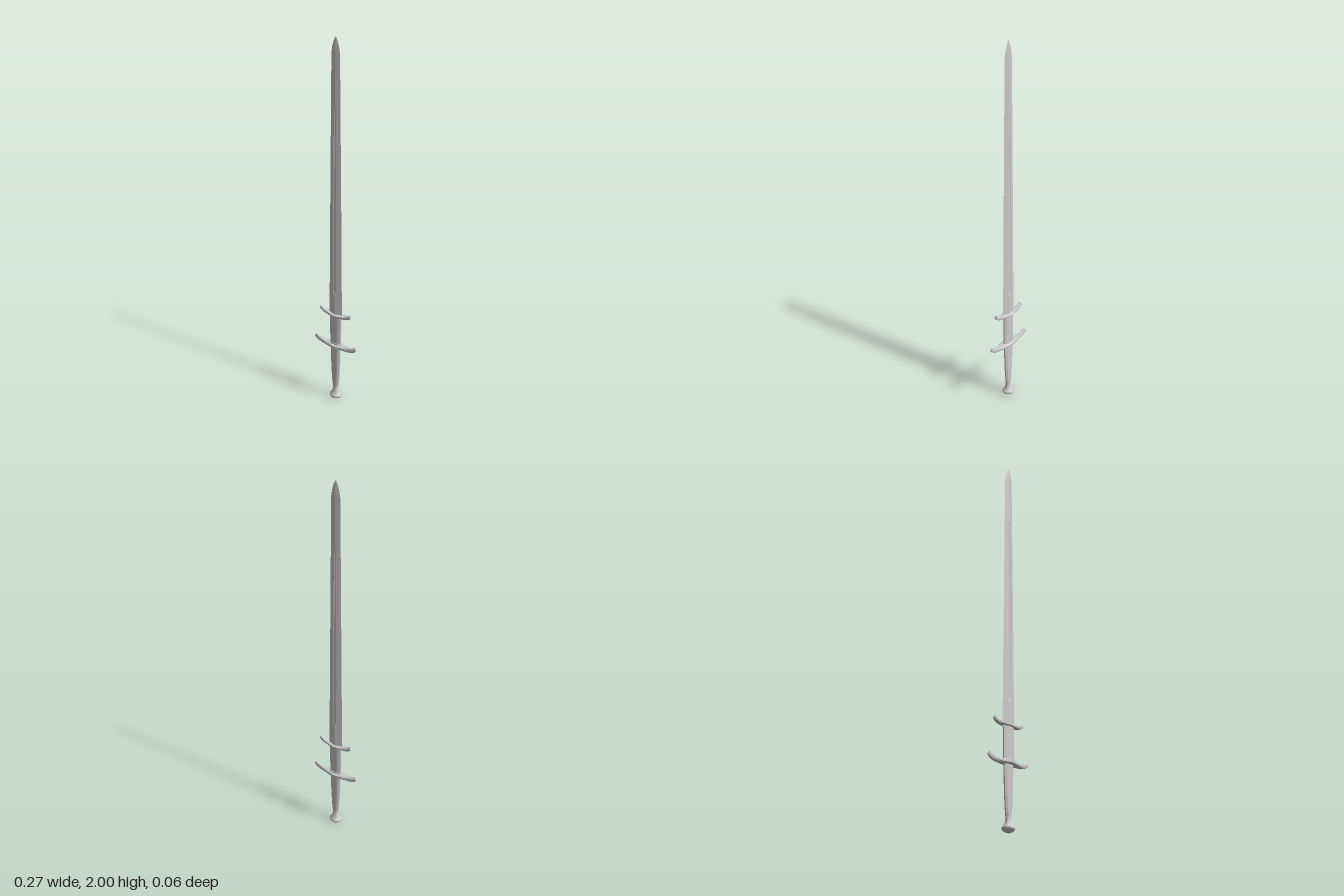
import * as THREE from 'three';
import { toCreasedNormals } from 'three/addons/utils/BufferGeometryUtils.js';

const material = new THREE.MeshStandardMaterial({ color: 0xcccccc });

// Skin a list of equal-length rings of [x, y, z] points and close both ends
function loft(name, rings, crease = 0.35) {
  const n = rings[0].length;
  const index = [];
  for (let i = 0; i < rings.length - 1; i++) {
    for (let j = 0; j < n; j++) {
      const a = i * n + j, b = i * n + (j + 1) % n;
      index.push(a, a + n, b, b, a + n, b + n);
    }
  }
  const last = (rings.length - 1) * n;
  for (let j = 1; j < n - 1; j++) {
    index.push(0, j, j + 1);
    index.push(last, last + j + 1, last + j);
  }
  const geo = new THREE.BufferGeometry();
  geo.setAttribute('position', new THREE.Float32BufferAttribute(rings.flat(2), 3));
  geo.setIndex(index);
  const mesh = new THREE.Mesh(toCreasedNormals(geo, crease), material);
  mesh.name = name;
  return mesh;
}

// Mirror one quarter of an outline (from +u to +v) into a full loop
function mirrorQuarter(q) {
  const half = [...q, ...q.filter(p => p[0] > 0).reverse().map(([u, v]) => [-u, v])];
  return [...half, ...half.filter(p => p[1] > 0).reverse().map(([u, v]) => [u, -v])];
}

// Diamond blade section with a groove of half-width f and depth d
function bladeRing([y, w, t, groove]) {
  const f = w * 0.24, edge = t * (1 - f / w);
  const deep = edge - 0.0025;
  const mix = (a, b) => a + (b - a) * groove;
  const quarter = [
    [w, 0], [f, edge],
    [f * 0.7, mix(t * (1 - 0.7 * f / w), deep + 0.0006)],
    [0, mix(t, deep)],
  ];
  return mirrorQuarter(quarter).map(([x, z]) => [x, y, z]);
}

// Bevelled handle section
function handleRing([y, w, t]) {
  const quarter = [[w, t * 0.3], [w * 0.62, t * 0.85], [w * 0.3, t]];
  return mirrorQuarter(quarter).map(([x, z]) => [x, y, z]);
}

// Crossguard swept along x: stations are [x, centre y, half height, half depth]
function guard(name, stations) {
  const mirrored = [
    ...stations.slice(1).reverse().map(([x, ...r]) => [-x, ...r]),
    ...stations,
  ];
  const rings = mirrored.map(([x, cy, h, d]) =>
    mirrorQuarter([[d, h * 0.55], [d * 0.75, h]])
      .map(([z, y]) => [x + Math.sign(x) * (cy > stations[0][1] + 0.015 ? -y * 0.5 : 0), cy + y, z]));
  return loft(name, rings, 0.6);
}

export function createModel() {
  const group = new THREE.Group();
  group.name = 'sword';

  // Blade: y, half width, half thickness, groove amount
  group.add(loft('blade', [
    [0.51, 0.040, 0.0125, 0],
    [0.64, 0.0395, 0.0115, 0],
    [0.66, 0.039, 0.0115, 1],
    [0.90, 0.037, 0.0105, 1],
    [1.40, 0.031, 0.0085, 1],
    [1.64, 0.0285, 0.0075, 1],
    [1.66, 0.028, 0.0075, 0],
    [1.92, 0.025, 0.005, 0],
    [1.95, 0.020, 0.0045, 0],
    [1.98, 0.011, 0.003, 0],
    [2.00, 0.0005, 0.0005, 0],
  ].map(bladeRing), 0.12));

  // Thick blade root between the two guards
  group.add(loft('bladeRoot', [
    [0.33, 0.033, 0.013], [0.515, 0.034, 0.013],
  ].map(handleRing)));

  // Grip tapering towards the pommel
  group.add(loft('grip', [
    [0.06, 0.012, 0.011],
    [0.08, 0.017, 0.012],
    [0.12, 0.022, 0.012],
    [0.19, 0.026, 0.0125],
    [0.27, 0.029, 0.013],
    [0.335, 0.030, 0.013],
  ].map(handleRing)));

  // Collar seated on the main guard
  group.add(loft('collar', [
    [0.335, 0.036, 0.016], [0.354, 0.036, 0.016],
  ].map(handleRing)));

  group.add(guard('upperGuard', [
    [0, 0.522, 0.008, 0.024],
    [0.018, 0.522, 0.008, 0.021],
    [0.045, 0.523, 0.008, 0.015],
    [0.072, 0.527, 0.009, 0.011],
    [0.086, 0.534, 0.010, 0.009],
    [0.097, 0.541, 0.008, 0.008],
  ]));

  group.add(guard('mainGuard', [
    [0, 0.337, 0.011, 0.029],
    [0.022, 0.336, 0.011, 0.025],
    [0.055, 0.335, 0.010, 0.017],
    [0.090, 0.337, 0.011, 0.011],
    [0.115, 0.344, 0.012, 0.009],
    [0.133, 0.354, 0.008, 0.006],
  ]));

  // Flared pommel with a shallow domed base
  const profile = [
    [0, 0], [0.016, 0.003], [0.028, 0.010], [0.034, 0.018], [0.034, 0.025],
    [0.024, 0.036], [0.018, 0.050], [0.0155, 0.066], [0.0145, 0.076], [0, 0.080],
  ].map(([r, y]) => new THREE.Vector2(r, y));
  const pommel = new THREE.Mesh(
    toCreasedNormals(new THREE.LatheGeometry(profile, 16), 0.5), material);
  pommel.scale.z = 0.88;
  pommel.name = 'pommel';
  group.add(pommel);

  return group;
}
